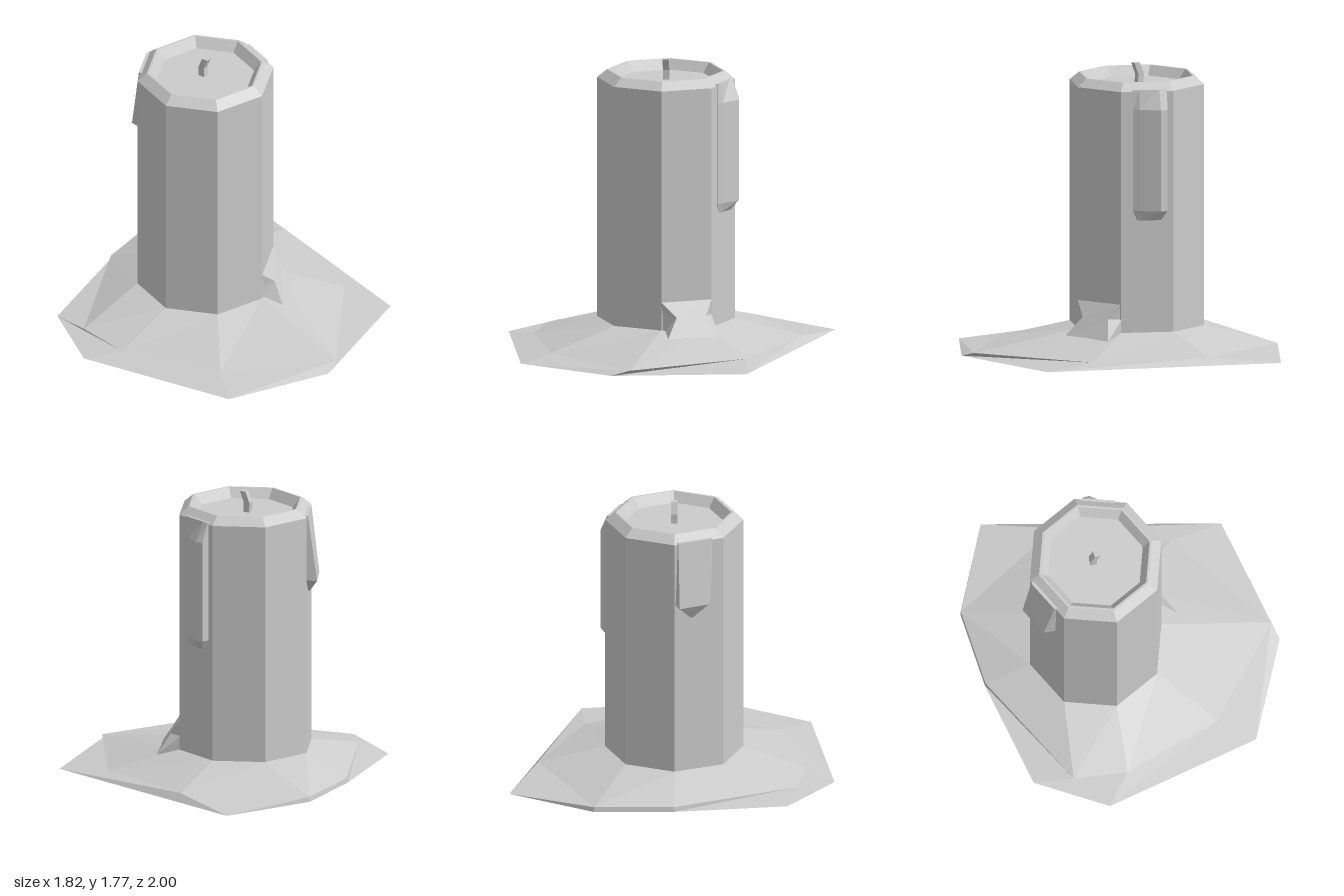
import * as THREE from 'three';

const CX = -0.195, CZ = 0.015, R = 0.425;
const APOTHEM = R * Math.cos(Math.PI / 8);
const wax = new THREE.MeshStandardMaterial({ color: 0xcccccc, flatShading: true });

// Closed solid through rings of [x, y, z] points, bottom to top, counterclockwise from above
function loft(name, rings) {
  const pos = [];
  const tri = (a, b, c) => pos.push(...a, ...b, ...c);
  const n = rings[0].length;
  for (let k = 0; k < rings.length - 1; k++) {
    for (let i = 0; i < n; i++) {
      const j = (i + 1) % n, lo = rings[k], hi = rings[k + 1];
      tri(lo[i], lo[j], hi[j]);
      tri(lo[i], hi[j], hi[i]);
    }
  }
  const first = rings[0], last = rings[rings.length - 1];
  for (let i = 1; i < n - 1; i++) {
    tri(first[0], first[i + 1], first[i]);
    tri(last[0], last[i], last[i + 1]);
  }
  const geo = new THREE.BufferGeometry();
  geo.setAttribute('position', new THREE.Float32BufferAttribute(pos, 3));
  geo.computeVertexNormals();
  const mesh = new THREE.Mesh(geo, wax);
  mesh.name = name;
  return mesh;
}

// Solid on one side of the octagon: points are [along the face, out from the face]
function onFace(name, face, sections) {
  const phi = (face + 0.5) * Math.PI / 4, s = Math.sin(phi), c = Math.cos(phi);
  return loft(name, sections.map(({ y, pts }) => pts.map(([u, n]) => [
    CX + s * (APOTHEM + n) + c * u, y, CZ + c * (APOTHEM + n) - s * u])));
}

export function createModel() {
  const model = new THREE.Group();
  model.name = 'candle';

  // Octagonal body with bevelled rim and sunken top
  const profile = [[R, 0.1], [R, 1.65], [0.365, 1.7], [0.35, 1.7], [0.305, 1.64], [0, 1.64]];
  const body = new THREE.Mesh(
    new THREE.LatheGeometry(profile.map(([x, y]) => new THREE.Vector2(x, y)), 8), wax);
  body.position.set(CX, 0, CZ);
  body.name = 'candleBody';
  model.add(body);

  // Irregular pool of melted wax
  const outer = [[-0.42, 1], [0.57, 0.86], [0.91, 0.28], [0.8, -0.55],
    [-0.61, -1], [-0.91, -0.48], [-0.91, 0.01], [-0.82, 0.71]];
  const shoulder = [[-0.25, 0.025, 0.83], [0.38, 0.03, 0.68], [0.89, 0.03, 0.17], [0.47, 0.03, -0.53],
    [-0.19, 0.045, -0.82], [-0.905, 0.03, -0.48], [-0.905, 0.03, 0.01], [-0.58, 0.03, 0.77]];
  const collar = shoulder.map((_, i) => {
    const a = i * Math.PI / 4;
    return [CX + R * Math.sin(a), 0.15, CZ + R * Math.cos(a)];
  });
  model.add(loft('waxPool', [outer.map(([x, z]) => [x, 0, z]), shoulder, collar]));

  // Long drip down the back
  const longDrip = [[-0.09, -0.02], [-0.09, 0.005], [-0.05, 0.022], [0.075, 0.067], [0.12, 0.048], [0.12, -0.02]];
  model.add(onFace('longDrip', 3, [
    { y: 0.85, pts: longDrip.map(([u, n]) => [u * 0.7, n * 0.3]) },
    { y: 0.91, pts: longDrip },
    { y: 1.54, pts: longDrip },
    { y: 1.66, pts: longDrip.map(([u, n]) => [u, Math.min(n, 0) + 0.005]) },
  ]));

  // Short flaring drip with a pointed end
  model.add(onFace('shortDrip', 6, [
    { y: 1.16, pts: [[-0.06, -0.01], [-0.06, 0.012], [-0.045, 0.012], [-0.045, -0.01]] },
    { y: 1.25, pts: [[-0.155, -0.01], [-0.155, 0.066], [0.042, 0.06], [0.085, -0.01]] },
    { y: 1.66, pts: [[-0.145, -0.03], [-0.14, 0.008], [0.08, 0.008], [0.11, -0.03]] },
  ]));

  // Sloping wax foot where a drip meets the pool
  model.add(onFace('waxFoot', 2, [
    { y: 0.115, pts: [[-0.163, -0.01], [-0.168, 0.135], [0.163, 0.138], [0.163, -0.01]] },
    { y: 0.235, pts: [[-0.163, -0.01], [-0.085, 0.062], [0.105, 0.058], [0.163, -0.01]] },
    { y: 0.325, pts: [[-0.163, -0.01], [-0.163, 0.002], [0.163, 0.002], [0.163, -0.01]] },
  ]));

  // Bent square wick
  const h = 0.02;
  model.add(loft('wick', [[-0.21, 1.62], [-0.213, 1.7], [-0.186, 1.77]].map(([x, y]) =>
    [[-h, h], [h, h], [h, -h], [-h, -h]].map(([dx, dz]) => [x + dx, y, CZ + dz]))));

  return model;
}
